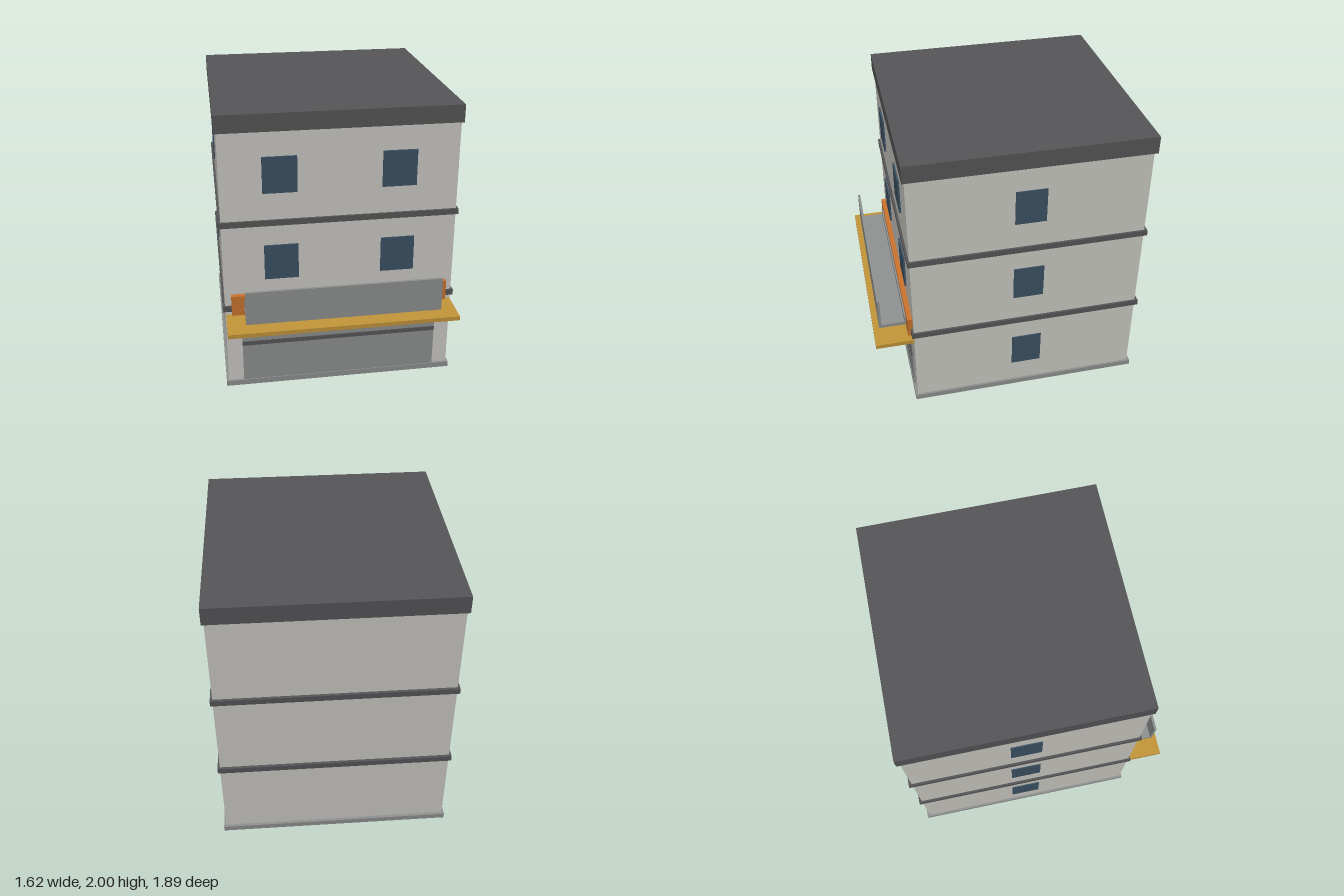
import * as THREE from 'three';

const paint = (name, color) => {
  const m = new THREE.MeshStandardMaterial({ color });
  m.name = name;
  return m;
};

export function createModel() {
  const wall = paint('pale plaster', 0xc9c8c2);
  const dark = paint('dark trim', 0x555557);
  const grey = paint('grey metal', 0x8e908f);
  const glass = paint('blue glass', 0x3b5162);
  const orange = paint('orange board', 0xc8722d);
  const ochre = paint('ochre awning', 0xc09339);
  const magenta = paint('magenta underside', 0xc800c8);

  const model = new THREE.Group();
  model.name = 'building';

  // Box given by its limits on each axis
  const block = (name, mat, [x0, x1], [y0, y1], [z0, z1]) => {
    const mesh = new THREE.Mesh(new THREE.BoxGeometry(x1 - x0, y1 - y0, z1 - z0), mat);
    mesh.position.set((x0 + x1) / 2, (y0 + y1) / 2, (z0 + z1) / 2);
    mesh.name = name;
    model.add(mesh);
    return mesh;
  };

  // Main body, plinth, floor bands and roof slab
  const rimX = [-0.81, 0.81], rimZ = [-0.945, 0.695];
  block('walls', wall, [-0.795, 0.795], [0.02, 1.9], [-0.925, 0.68]);
  block('plinth', [grey, grey, grey, magenta, grey, grey], rimX, [0, 0.04], rimZ);
  block('lowerBand', dark, rimX, [0.605, 0.645], rimZ);
  block('upperBand', dark, rimX, [1.23, 1.27], rimZ);
  block('roof', dark, rimX, [1.88, 2], rimZ);

  // Windows: one per floor on each side, two on the upper floors in front
  [0.21, 0.835, 1.46].forEach((y, floor) => {
    const span = [y, y + 0.25];
    block('leftWindow', glass, [0.794, 0.803], span, [-0.23, -0.02]);
    block('rightWindow', glass, [-0.803, -0.794], span, [-0.23, -0.02]);
    if (floor > 0) {
      block('frontWindow', glass, [0.28, 0.51], span, [0.679, 0.692]);
      block('frontWindow', glass, [-0.515, -0.285], span, [0.679, 0.692]);
    }
  });

  // Shop shutter with its dark rail
  block('shutter', grey, [-0.687, 0.687], [0.04, 0.515], [0.679, 0.69]);
  block('shutterRail', dark, [-0.687, 0.687], [0.325, 0.355], [0.688, 0.697]);

  // Awning and backing board
  block('awning', ochre, [-0.79, 0.79], [0.545, 0.575], [0.68, 0.945]);
  block('backingBoard', orange, [-0.75, 0.75], [0.585, 0.73], [0.68, 0.715]);

  // Open-ended tray: floor, tall front panel and low back lip
  const trayX = [-0.665, 0.665];
  block('trayFloor', grey, trayX, [0.618, 0.643], [0.715, 0.905]);
  block('trayFront', grey, trayX, [0.643, 0.857], [0.888, 0.905]);
  block('trayLip', grey, trayX, [0.643, 0.69], [0.715, 0.726]);

  return model;
}
